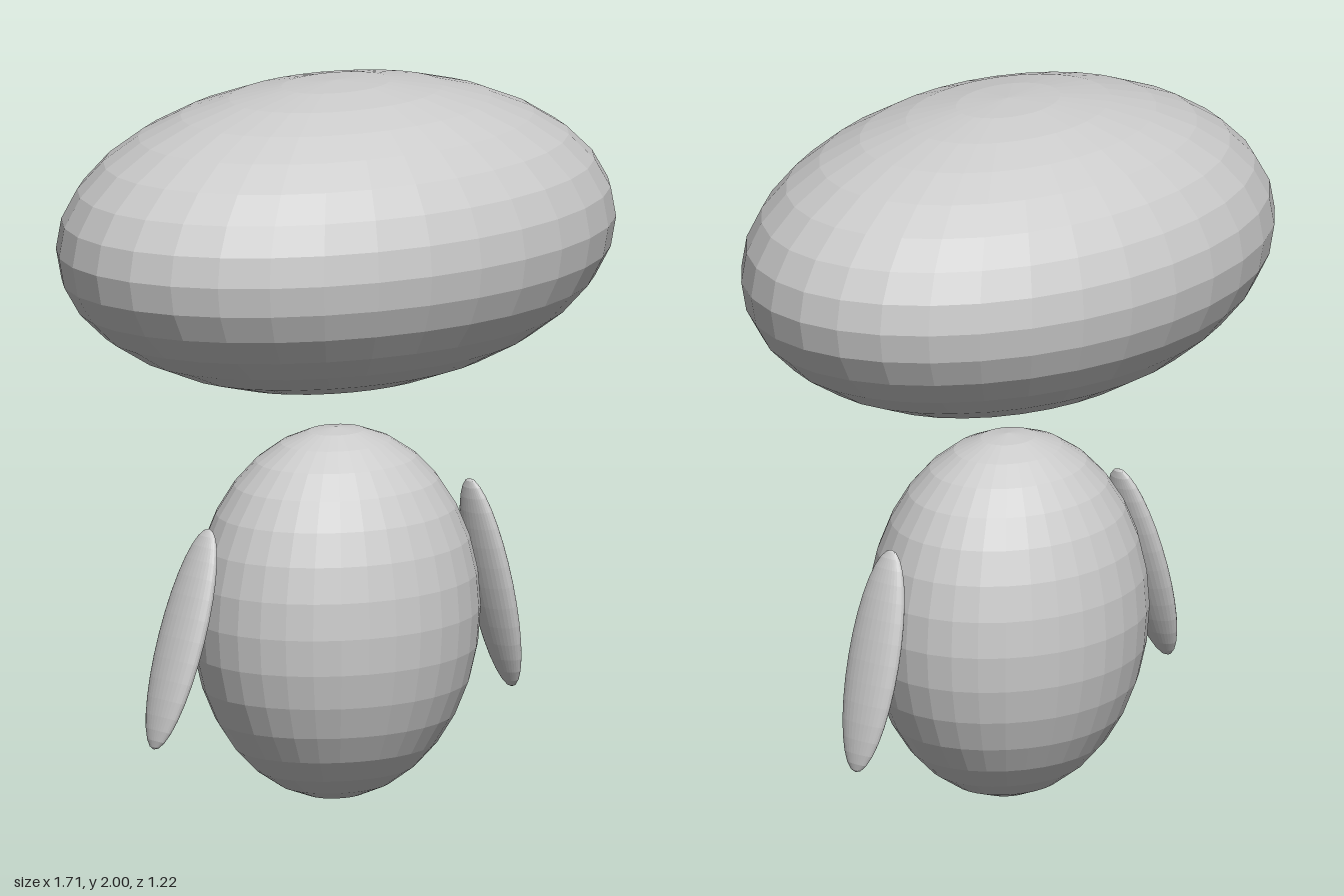
import * as THREE from 'three';

const material = new THREE.MeshStandardMaterial({ color: 0xcccccc, flatShading: true });

// Faceted ellipsoid with its poles along its own y axis, tilted about z
function ellipsoid(name, radii, position, tilt = 0) {
  const geometry = new THREE.SphereGeometry(1, 32, 16);
  geometry.scale(...radii);
  const mesh = new THREE.Mesh(geometry, material);
  mesh.name = name;
  mesh.position.set(...position);
  mesh.rotation.z = THREE.MathUtils.degToRad(tilt);
  return mesh;
}

export function createModel() {
  const model = new THREE.Group();
  model.name = 'figure';

  // Wide head floating above an egg-shaped body
  model.add(ellipsoid('head', [0.857, 0.425, 0.612], [0, 1.575, 0]));
  model.add(ellipsoid('body', [0.42, 0.516, 0.357], [0, 0.518, 0]));

  // Thin paddle arms; the right one leans out a little further
  model.add(ellipsoid('leftArm', [0.037, 0.31, 0.086], [0.553, 0.52, 0], 14));
  model.add(ellipsoid('rightArm', [0.037, 0.31, 0.086], [-0.553, 0.519, 0], -18.7));

  return model;
}
